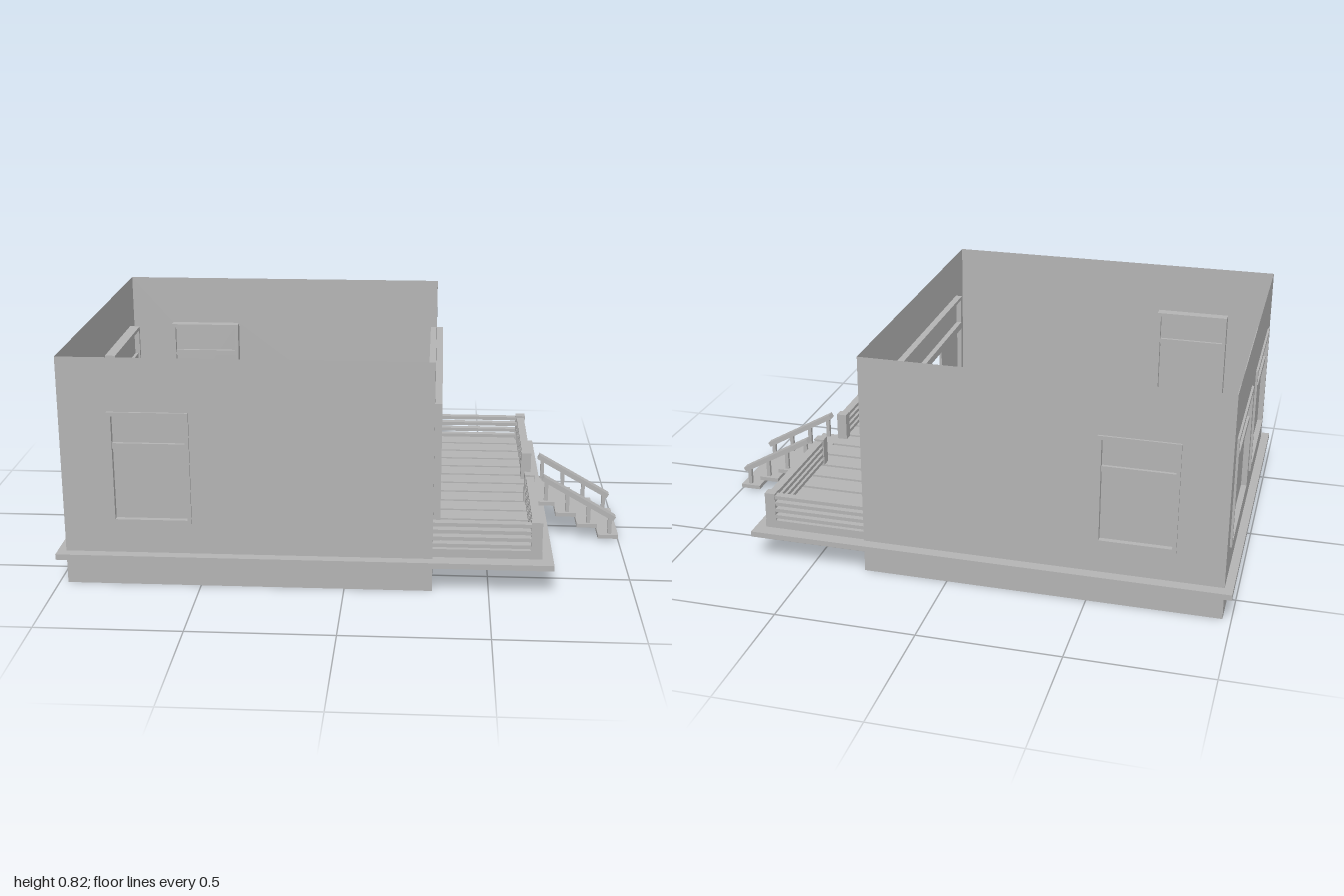
import * as THREE from 'three';

const plaster = new THREE.MeshStandardMaterial({ color: 0xb3b3b3, side: THREE.DoubleSide });
plaster.name = 'plainGrey';

// Box given by its min and max corners
function box(parent, name, x0, x1, y0, y1, z0, z1) {
  const m = new THREE.Mesh(new THREE.BoxGeometry(x1 - x0, y1 - y0, z1 - z0), plaster);
  m.position.set((x0 + x1) / 2, (y0 + y1) / 2, (z0 + z1) / 2);
  m.name = name;
  parent.add(m);
  return m;
}

// Rectangle outline, used for walls and their openings
function rect(Type, a0, a1, b0, b1) {
  const s = new Type();
  s.moveTo(a0, b0);
  s.lineTo(a1, b0);
  s.lineTo(a1, b1);
  s.lineTo(a0, b1);
  s.closePath();
  return s;
}

// Thin wall sheet in local x/y with rectangular openings
function wall(parent, name, a0, a1, openings) {
  const s = rect(THREE.Shape, a0, a1, 0, 0.82);
  openings.forEach(o => s.holes.push(rect(THREE.Path, ...o)));
  const m = new THREE.Mesh(new THREE.ShapeGeometry(s), plaster);
  m.name = name;
  parent.add(m);
  return m;
}

// Framed window in local x/y; z = 0 is the wall face, +z is outside
function windowUnit(name, a0, a1) {
  const g = new THREE.Group();
  g.name = name;
  const y0 = 0.23, y1 = 0.63, t = 0.014, back = -0.04, front = 0.008;
  box(g, 'leftFrame', a0, a0 + t, y0, y1, back, front);
  box(g, 'rightFrame', a1 - t, a1, y0, y1, back, front);
  box(g, 'sill', a0 + t, a1 - t, y0, y0 + t, back, front);
  box(g, 'head', a0 + t, a1 - t, y1 - t, y1, back, front);
  box(g, 'crossbar', a0 + t, a1 - t, 0.498, 0.518, -0.032, 0);
  box(g, 'pane', a0 + t, a1 - t, y0 + t, y1 - t, -0.02, -0.012);
  return g;
}

export function createModel() {
  const model = new THREE.Group();
  model.name = 'cabin';

  // Foundation, projecting slab and inner floor
  box(model, 'foundation', -0.968, 0.303, 0, 0.1, -0.633, 0.633);
  box(model, 'slab', -1, 0.72, 0.1, 0.12, -0.677, 0.673);
  box(model, 'floor', -0.966, 0.303, 0.12, 0.15, -0.632, 0.632);

  // Front and back walls, one window each
  const side = [-0.803, -0.525];
  for (const s of [1, -1]) {
    const g = new THREE.Group();
    g.name = s > 0 ? 'frontWall' : 'backWall';
    const a0 = s > 0 ? side[0] : -side[1], a1 = s > 0 ? side[1] : -side[0];
    wall(g, 'sheet', s > 0 ? -0.97 : -0.305, s > 0 ? 0.305 : 0.97, [[a0, a1, 0.23, 0.63]]);
    g.add(windowUnit('window', a0, a1));
    g.position.z = 0.635 * s;
    if (s < 0) g.rotation.y = Math.PI;
    model.add(g);
  }

  // Right wall with two wide windows
  const right = new THREE.Group();
  right.name = 'rightWall';
  const spans = [[-0.55, -0.08], [0.06, 0.53]];
  wall(right, 'sheet', -0.635, 0.635, spans.map(p => [...p, 0.23, 0.63]));
  spans.forEach(p => right.add(windowUnit('window', ...p)));
  right.rotation.y = -Math.PI / 2;
  right.position.x = -0.97;
  model.add(right);

  // Left wall with the large glazed entrance
  const left = wall(model, 'leftWall', -0.635, 0.635, [[-0.54, 0.54, 0.15, 0.648]]);
  left.rotation.y = Math.PI / 2;
  left.position.x = 0.305;

  const entrance = new THREE.Group();
  entrance.name = 'entrance';
  for (const s of [1, -1]) {
    const span = (a, b) => s > 0 ? [a, b] : [-b, -a];
    box(entrance, 'framePost', 0.28, 0.33, 0.15, 0.648, ...span(0.527, 0.54));
    box(entrance, 'sidePanel', 0.298, 0.308, 0.15, 0.51, ...span(0.305, 0.527));
  }
  box(entrance, 'frameHead', 0.28, 0.33, 0.635, 0.648, -0.527, 0.527);
  box(entrance, 'frameBeam', 0.28, 0.33, 0.51, 0.538, -0.527, 0.527);
  box(entrance, 'doorHead', 0.295, 0.312, 0.5, 0.51, -0.305, 0.305);
  box(entrance, 'transomPane', 0.3, 0.308, 0.538, 0.635, -0.527, 0.527);
  model.add(entrance);

  // Deck boards with narrow gaps
  const deck = new THREE.Group();
  deck.name = 'deck';
  for (let i = 0; i < 13; i++) {
    const z = -0.627 + i * 0.0968;
    box(deck, 'deckBoard', 0.305, 0.682, 0.12, 0.15, z, z + 0.083);
  }
  model.add(deck);

  // Railings: posts and four flat rails per run
  for (const s of [1, -1]) {
    const g = new THREE.Group();
    g.name = 'railing';
    const span = (a, b) => s > 0 ? [a, b] : [-b, -a];
    box(g, 'cornerPost', 0.642, 0.68, 0.15, 0.255, ...span(0.588, 0.624));
    box(g, 'stairPost', 0.642, 0.68, 0.15, 0.255, ...span(0.105, 0.143));
    for (let i = 0; i < 4; i++) {
      const y = 0.158 + i * 0.0255;
      box(g, 'sideRail', 0.305, 0.642, y, y + 0.013, ...span(0.594, 0.622));
      box(g, 'outerRail', 0.646, 0.676, y, y + 0.013, ...span(0.143, 0.588));
    }
    g.position.z = -0.003;
    model.add(g);
  }

  // Floating steps with balusters and sloping handrails
  const stairs = new THREE.Group();
  stairs.name = 'stairs';
  const railY = x => 0.237 - (x - 0.715) * 0.57;
  for (let i = 0; i < 4; i++) {
    const x = 0.681 + i * 0.081, y = 0.134 - i * 0.0425;
    box(stairs, 'tread', x, x + 0.076, y, y + 0.015, -0.141, 0.141);
    const bx = 0.725 + i * 0.081;
    for (const s of [1, -1]) {
      box(stairs, 'baluster', bx - 0.007, bx + 0.007, y + 0.015, railY(bx), s * 0.122 - 0.007, s * 0.122 + 0.007);
    }
  }
  for (const s of [1, -1]) {
    const rail = box(stairs, 'handrail', -0.157, 0.157, -0.009, 0.009, -0.017, 0.017);
    rail.position.set(0.847, railY(0.847), s * 0.122);
    rail.rotation.z = -Math.atan(0.57);
  }
  stairs.position.z = -0.005;
  model.add(stairs);

  return model;
}
